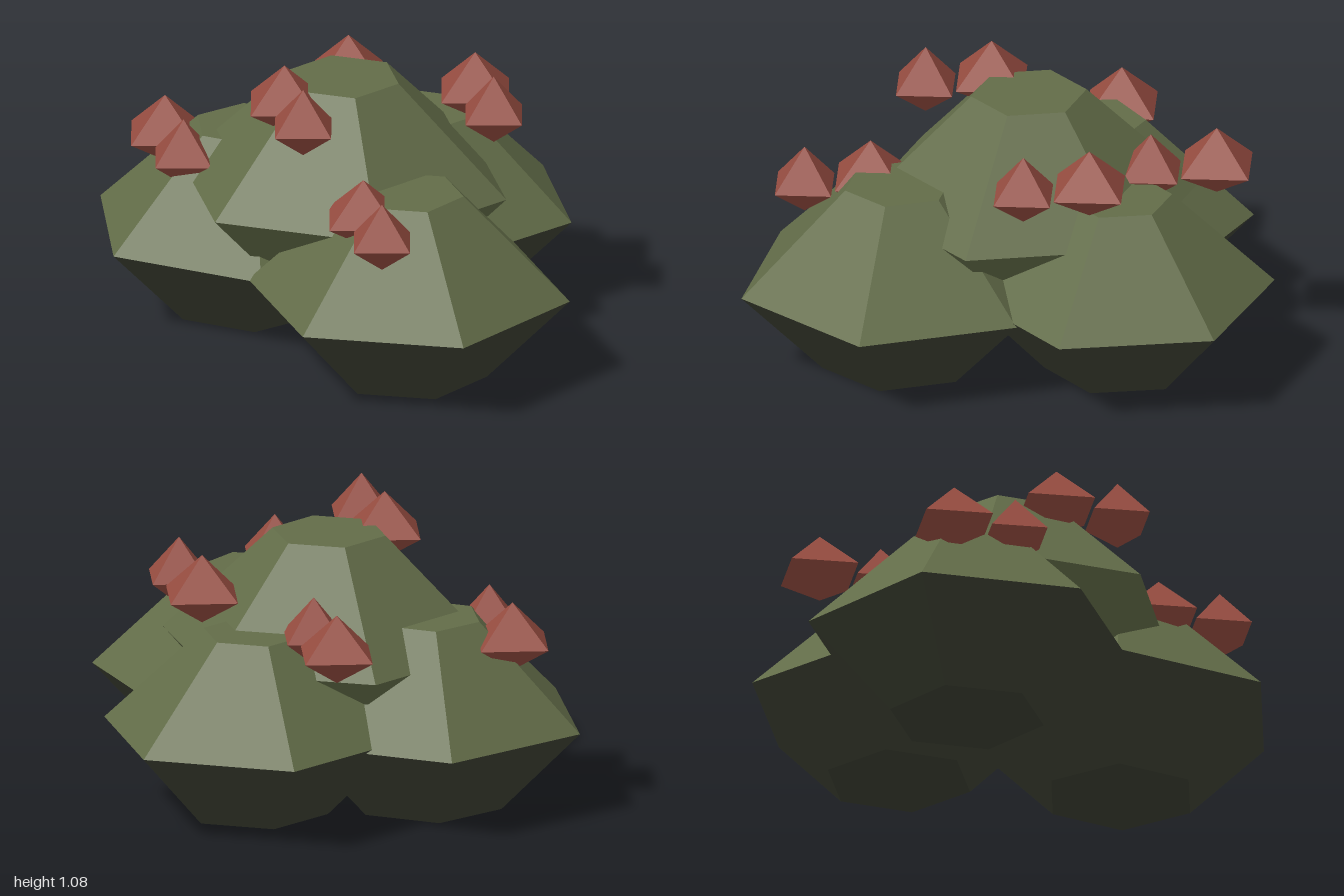
import * as THREE from 'three';

function makeMaterial(name, color) {
  const material = new THREE.MeshStandardMaterial({ color });
  material.name = name;
  material.flatShading = true;
  return material;
}
const leafGreen = makeMaterial('leafGreen', 0x626c48);
const shadedGreen = makeMaterial('shadedGreen', 0x3d4133);
const budRed = makeMaterial('budRed', 0x964c40);

// Faceted solid of revolution; profile points [radius, height] run upward
function makeFaceted(name, points, sides, turn, material) {
  const profile = points.map(([r, h]) => new THREE.Vector2(r, h));
  const mesh = new THREE.Mesh(new THREE.LatheGeometry(profile, sides, turn), material);
  mesh.name = name;
  return mesh;
}

// Six-sided clump: flat base, wide waist at height y, small flat top
function makeClump(name, x, y, z, radius, turn, underside) {
  const clump = new THREE.Group();
  clump.name = name;
  const lower = [[0, -0.533], [0.485, -0.533], [1, 0]];
  const upper = [[1, 0], [0.34, 0.645], [0, 0.645]];
  clump.add(
    makeFaceted(name + 'Underside', lower, 6, turn, underside),
    makeFaceted(name + 'Top', upper, 6, turn, leafGreen),
  );
  clump.scale.setScalar(radius);
  clump.position.set(x, y, z);
  return clump;
}

// Four-sided bud: taller point above its widest ring, shorter one below
function makeBud(name, x, y, z, radius) {
  const bud = makeFaceted(name, [[0, -0.106], [radius, 0], [0, 0.152]], 4, 0, budRed);
  bud.position.set(x, y, z);
  return bud;
}

export function createModel() {
  const group = new THREE.Group();
  group.name = 'floweringShrub';

  // Foliage: the raised middle clump is green all over, the outer ones are dark below
  group.add(
    makeClump('centerClump', -0.044, 0.57, 0.138, 0.63, -0.055, leafGreen),
    makeClump('leftClump', 0.455, 0.32, 0.295, 0.6, 0.08, shadedGreen),
    makeClump('rightClump', -0.435, 0.32, 0.24, 0.6, -0.18, shadedGreen),
    makeClump('backClump', -0.083, 0.334, -0.32, 0.573, -0.075, shadedGreen),
  );

  // Bud pairs: a large bud with a smaller one beside it
  const pairs = [
    ['centerFront', -0.09, 0.93, 0.396],
    ['centerBack', 0.12, 0.82, -0.382],
    ['left', 0.417, 0.65, 0.493],
    ['right', -0.72, 0.63, 0.387],
    ['back', -0.52, 0.71, -0.364],
  ];
  for (const [name, x, y, z] of pairs) {
    group.add(makeBud(name + 'LargeBud', x, y, z, 0.175));
    group.add(makeBud(name + 'SmallBud', x + 0.217, y, z + 0.12, 0.146));
  }
  return group;
}
